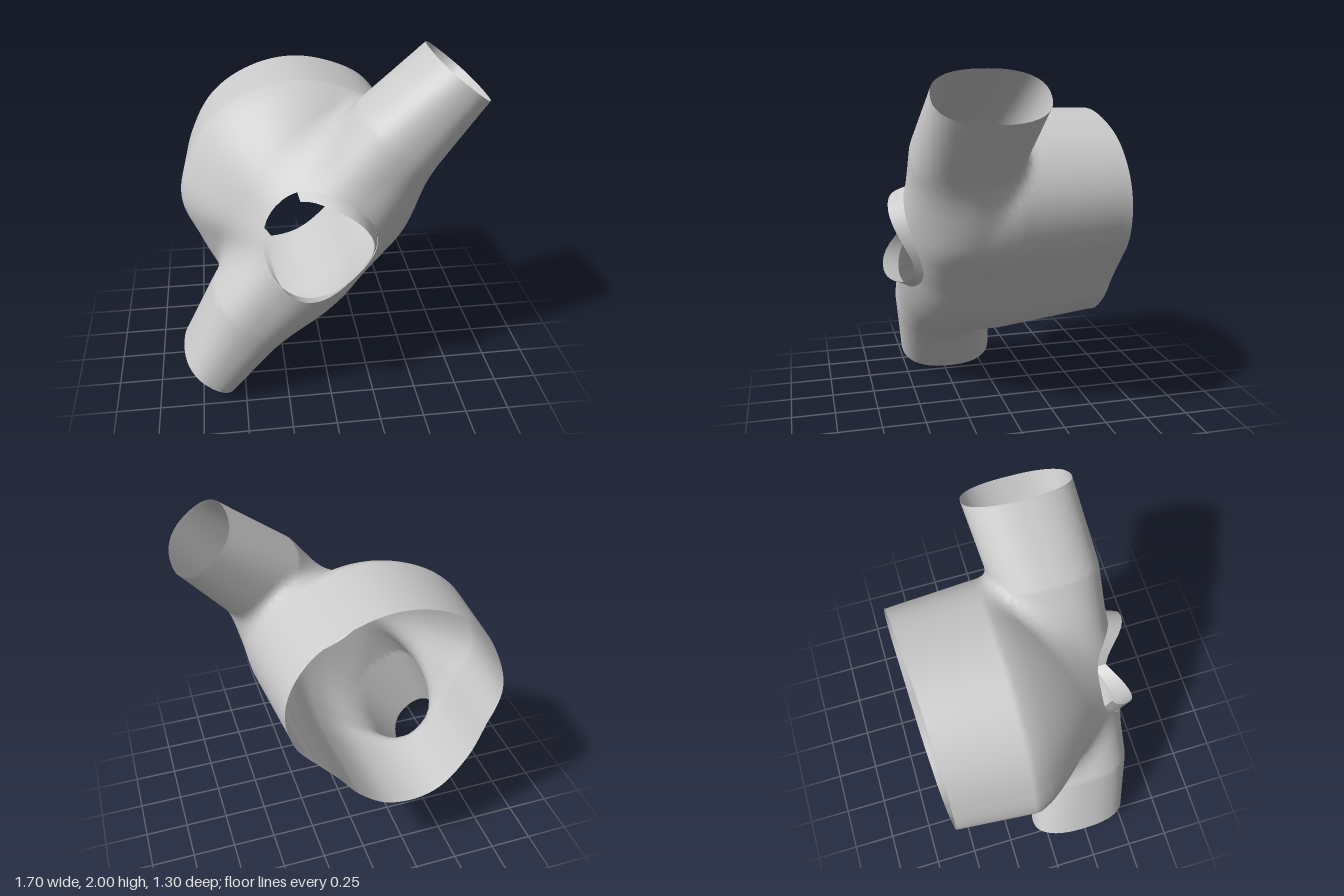
import * as THREE from 'three';

// Arm axis in the front plane: s runs along it, t across it (origin 0, 1)
const AX = 0.621, AY = 0.784, ARM_END = 1.118;
const along = (x, y) => x * AX + (y - 1) * AY;
const across = (x, y) => -x * AY + (y - 1) * AX;

// Body outline: radii around (-0.13, 1.06), every 22.5 degrees from +x
const OUTLINE = [0.575, 0.65, 0.67, 0.65, 0.645, 0.64, 0.64, 0.63,
  0.64, 0.605, 0.635, 0.67, 0.62, 0.525, 0.46, 0.48];
function outlineRadius(angle) {
  const n = OUTLINE.length;
  const u = ((angle / (2 * Math.PI)) * n + n) % n;
  const i = Math.floor(u), f = u - i;
  const [a, b, c, d] = [-1, 0, 1, 2].map(k => OUTLINE[(i + k + n) % n]);
  return b + 0.5 * f * (c - a + f * (2 * a - 5 * b + 4 * c - d + f * (3 * (b - c) + d - a)));
}

// Body: the outline run along z, narrowing to the back; its domed front is
// full on the lower right and slopes away on the upper left
function bodyField(x, y, z) {
  const forward = Math.min(0.6, Math.max(0, z + 0.6));
  const dx = x + 0.13, dy = y - 1.09 + 0.05 * forward;
  const taper = 1 + 0.12 * forward;
  const q = Math.hypot(dx, dy) / (outlineRadius(Math.atan2(dy, dx)) * taper);
  const h = Math.max(0, (z + 0.1) / 0.62);
  const n = 3.8 - 2.5 * THREE.MathUtils.smoothstep(across(x, y), -0.35, 0.35);
  return ((q ** n + h ** n) ** (1 / n) - 1) * 0.6;
}

// Arms: one oval tube through the body, wider on its upper side towards the middle
function armField(x, y, z) {
  const s = Math.max(0.65, Math.min(ARM_END, Math.abs(along(x, y))));
  const grow = ARM_END - s;
  const top = 0.198 + 0.25 * grow, half = (top + 0.198) / 2;
  const u = Math.abs(across(x, y) - (top - 0.198) / 2) / half;
  const v = Math.abs(z - 0.218 - 0.12 * grow) / 0.297;
  return ((u ** 2.4 + v ** 2.4) ** (1 / 2.4) - 1) * 0.22;
}

// Union of the two, softer towards the front
function field(x, y, z) {
  const a = bodyField(x, y, z), b = armField(x, y, z);
  const k = 0.06 + 0.1 * THREE.MathUtils.smoothstep(z, 0, 0.3);
  const h = Math.max(0, k - Math.abs(a - b)) / k;
  return Math.min(a, b) - h * h * k * 0.25;
}

function gradient(p) {
  const e = 0.004, { x, y, z } = p;
  return new THREE.Vector3(
    field(x + e, y, z) - field(x - e, y, z),
    field(x, y + e, z) - field(x, y - e, z),
    field(x, y, z + e) - field(x, y, z - e)).divideScalar(2 * e);
}

// Height of the front face at x, y
function frontZ(x, y) {
  let lo = 0, hi = 0.9;
  for (let i = 0; i < 24; i++) {
    const mid = (lo + hi) / 2;
    if (field(x, y, mid) < 0) lo = mid; else hi = mid;
  }
  return lo;
}

// Openings: back rim, both arm ends and the front hole
const HOLE = { x: -0.065, y: 1.04, r: 0.303 };
const backZ = (x, y) => -0.6 - 0.06 * x + 0.05 * (y - 1.1);

// Moves a point in an opening to its rim; returns true if it was moved
function trim(p) {
  const back = backZ(p.x, p.y);
  if (p.z < back) { p.z = back; return true; }
  const s = along(p.x, p.y), over = Math.abs(s) - ARM_END;
  if (over > 0) {
    p.x -= Math.sign(s) * over * AX;
    p.y -= Math.sign(s) * over * AY;
    return true;
  }
  const dx = p.x - HOLE.x, dy = p.y - HOLE.y, r = Math.hypot(dx, dy);
  if (p.z > 0.2 && r < HOLE.r) {
    p.x = HOLE.x + dx * HOLE.r / r;
    p.y = HOLE.y + dy * HOLE.r / r;
    p.z = frontZ(p.x, p.y);
    return true;
  }
  return false;
}

// Skins the field with one vertex per crossed grid cell, sorted into named parts
function buildShell() {
  const step = 0.035, nx = 60, ny = 68, nz = 44;
  const ox = -1.04, oy = -0.18, oz = -0.76;
  const id = (i, j, k) => (k * ny + j) * nx + i;
  const values = new Float32Array(nx * ny * nz);
  for (let k = 0; k < nz; k++) for (let j = 0; j < ny; j++) for (let i = 0; i < nx; i++)
    values[id(i, j, k)] = field(ox + i * step, oy + j * step, oz + k * step);

  const cache = new Map();
  function vertex(i, j, k) {
    const key = id(i, j, k);
    if (!cache.has(key)) {
      const p = new THREE.Vector3(ox + (i + 0.5) * step, oy + (j + 0.5) * step, oz + (k + 0.5) * step);
      for (let n = 0; n < 4; n++) {
        const g = gradient(p);
        const move = g.clone().multiplyScalar(-field(p.x, p.y, p.z) / Math.max(g.lengthSq(), 0.01));
        p.add(move.clampLength(0, step));
      }
      const cut = trim(p);
      cache.set(key, { p, cut, normal: gradient(p).normalize() });
    }
    return cache.get(key);
  }

  const parts = { body: [], upperArm: [], lowerArm: [] };
  function addQuad(q) {
    if (q.every(v => v.cut)) return;
    const s = (along(q[0].p.x, q[0].p.y) + along(q[2].p.x, q[2].p.y)) / 2;
    const name = s > 0.76 ? 'upperArm' : s < -0.76 ? 'lowerArm' : 'body';
    parts[name].push(q[0], q[1], q[2], q[0], q[2], q[3]);
  }

  const axes = [[1, 0, 0], [0, 1, 0], [0, 0, 1]];
  for (let k = 1; k < nz - 1; k++) for (let j = 1; j < ny - 1; j++) for (let i = 1; i < nx - 1; i++) {
    const inside = values[id(i, j, k)] < 0;
    axes.forEach((a, n) => {
      if (inside === values[id(i + a[0], j + a[1], k + a[2])] < 0) return;
      const b = axes[(n + 1) % 3], c = axes[(n + 2) % 3];
      const cell = (u, v) => vertex(i - u * b[0] - v * c[0], j - u * b[1] - v * c[1], k - u * b[2] - v * c[2]);
      const quad = [cell(1, 1), cell(0, 1), cell(0, 0), cell(1, 0)];
      addQuad(inside ? quad : quad.reverse());
    });
  }
  return parts;
}

// Short collar leaning inwards round the front hole, with a gap at the upper left
function buildCollar() {
  const start = THREE.MathUtils.degToRad(-195), end = THREE.MathUtils.degToRad(112);
  const count = 40, pos = [], index = [];
  for (let i = 0; i <= count; i++) {
    const a = start + (end - start) * i / count;
    const c = Math.cos(a), s = Math.sin(a);
    const x = HOLE.x + HOLE.r * c, y = HOLE.y + HOLE.r * s, z = frontZ(x, y);
    const rise = 0.065 + 0.02 * Math.cos(2 * (a - 0.9));
    pos.push(x, y, z - 0.01, HOLE.x + 0.272 * c, HOLE.y + 0.272 * s, z + rise);
    if (i < count) {
      const n = i * 2;
      index.push(n, n + 2, n + 1, n + 1, n + 2, n + 3);
    }
  }
  const geometry = new THREE.BufferGeometry();
  geometry.setAttribute('position', new THREE.Float32BufferAttribute(pos, 3));
  geometry.setIndex(index);
  geometry.computeVertexNormals();
  return geometry;
}

export function createModel() {
  const group = new THREE.Group();
  group.name = 'branchedShell';
  const material = new THREE.MeshStandardMaterial({ color: 0xcccccc, side: THREE.DoubleSide });
  const add = (name, geometry) => {
    const mesh = new THREE.Mesh(geometry, material);
    mesh.name = name;
    group.add(mesh);
  };
  for (const [name, list] of Object.entries(buildShell())) {
    const geometry = new THREE.BufferGeometry();
    geometry.setAttribute('position', new THREE.Float32BufferAttribute(list.flatMap(v => v.p.toArray()), 3));
    geometry.setAttribute('normal', new THREE.Float32BufferAttribute(list.flatMap(v => v.normal.toArray()), 3));
    add(name, geometry);
  }
  add('frontCollar', buildCollar());
  return group;
}
